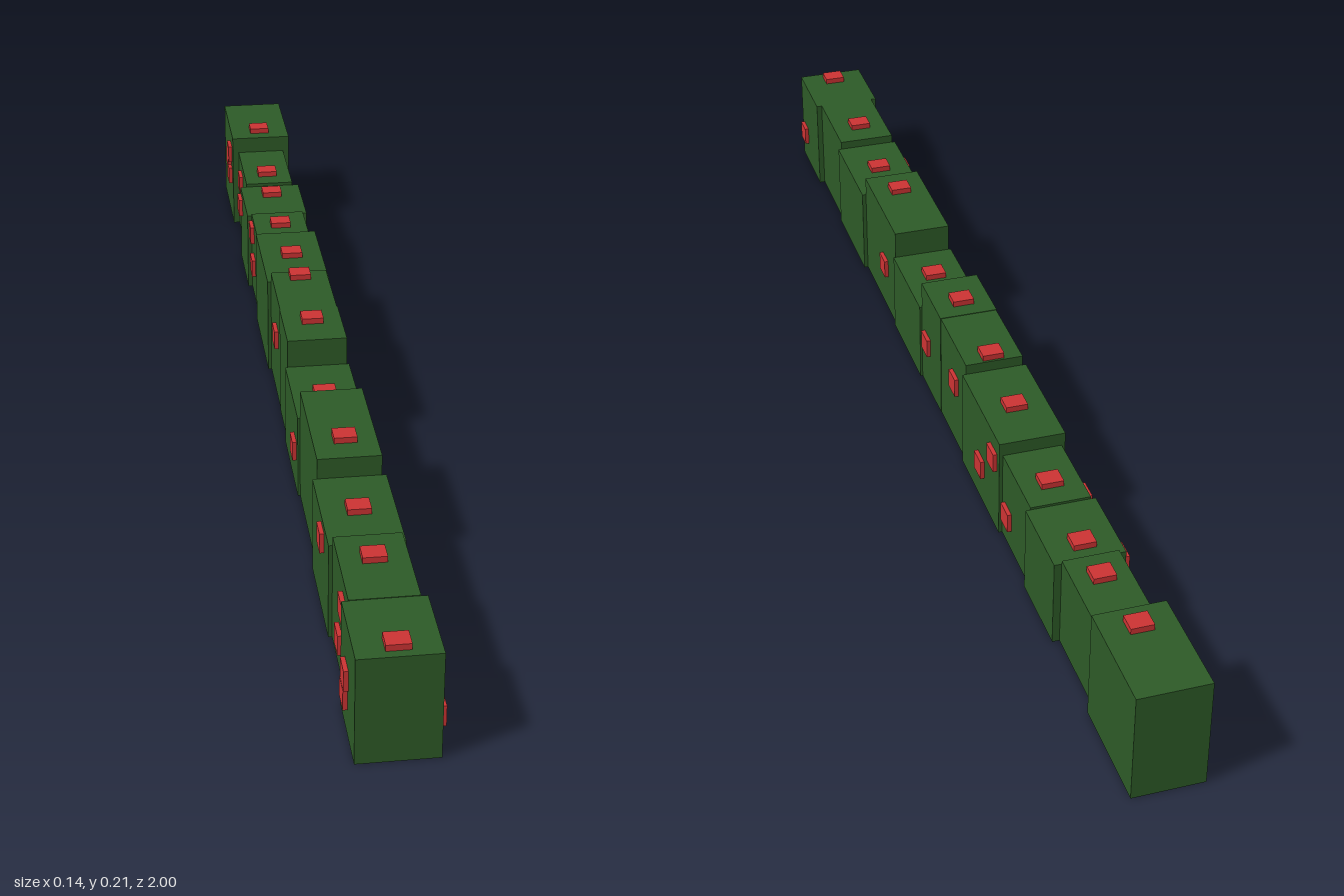
import * as THREE from 'three';

export function createModel() {
  const model = new THREE.Group();
  const leaf = new THREE.MeshStandardMaterial({ color: 0x2d5a27 });
  leaf.name = 'leaf green';
  const petal = new THREE.MeshStandardMaterial({ color: 0xcc3333 });
  petal.name = 'petal red';

  const box = (name, mat, w, h, d, x, y, z) => {
    const mesh = new THREE.Mesh(new THREE.BoxGeometry(w, h, d), mat);
    mesh.name = name;
    mesh.position.set(x, y, z);
    model.add(mesh);
  };

  // Hedge blocks: front z, back z, half width, height, z of the flower on top
  const blocks = [
    [1, 0.86, 0.062, 0.177, 0.97],
    [0.86, 0.695, 0.052, 0.178, 0.755],
    [0.695, 0.505, 0.058, 0.163, 0.6],
    [0.505, 0.288, 0.051, 0.198, 0.445],
    [0.288, 0.11, 0.055, 0.148, 0.21],
    [0.11, -0.01, 0.051, 0.198, 0.035],
    [-0.01, -0.16, 0.05, 0.197, -0.14],
    [-0.16, -0.367, 0.056, 0.179, -0.27],
    [-0.367, -0.51, 0.05, 0.156, -0.455],
    [-0.51, -0.65, 0.058, 0.152, -0.61],
    [-0.65, -0.815, 0.046, 0.158, -0.7],
    [-0.815, -1, 0.058, 0.189, -0.855],
  ];
  for (const [z0, z1, half, h, fz] of blocks) {
    box('hedgeBlock', leaf, half * 2, h, z0 - z1, 0, h / 2, (z0 + z1) / 2);
    box('topFlower', petal, 0.037, 0.02, 0.032, 0, h, fz);
  }

  // Side flowers, as z and y, sit on the face of the block they belong to
  const leftFlowers = [
    [0.97, 0.062], [0.363, 0.089], [0.073, 0.094], [-0.098, 0.122],
    [-0.268, 0.07], [-0.337, 0.134], [-0.398, 0.055],
  ];
  const rightFlowers = [
    [0.92, 0.096], [0.915, 0.06], [0.82, 0.138], [0.785, 0.06], [0.627, 0.135],
    [0.253, 0.076], [-0.06, 0.121], [-0.46, 0.07], [-0.48, 0.131],
    [-0.63, 0.123], [-0.745, 0.123], [-0.855, 0.145], [-0.875, 0.124], [-0.857, 0.097],
  ];
  const sideFlowers = (name, list, side) => {
    for (const [z, y] of list) {
      const half = blocks.find((b) => z <= b[0] && z >= b[1])[2];
      box(name, petal, 0.014, 0.034, 0.036, side * half, y, z);
    }
  };
  sideFlowers('leftFlower', leftFlowers, 1);
  sideFlowers('rightFlower', rightFlowers, -1);

  return model;
}
